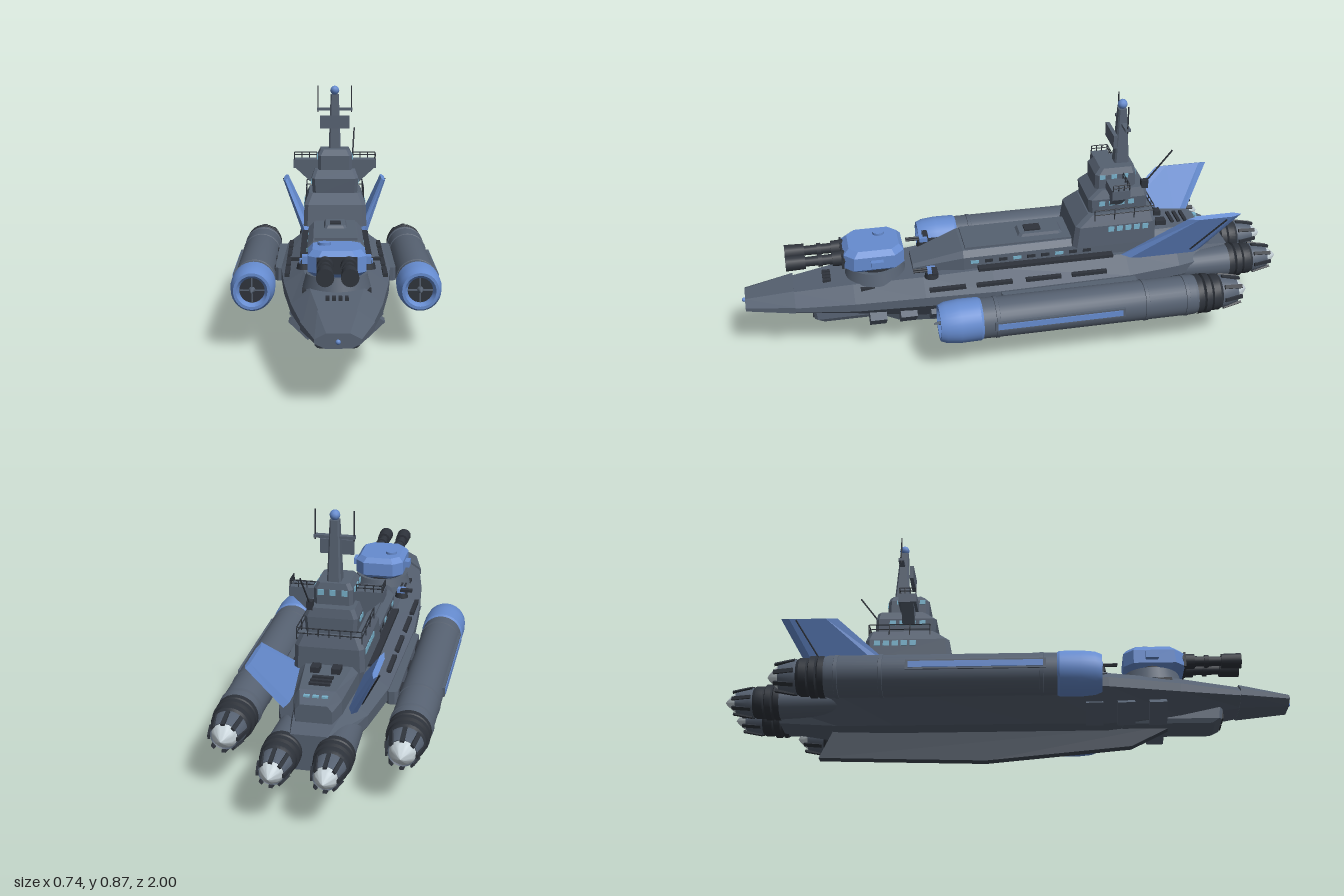
import * as THREE from 'three';
import { toCreasedNormals } from 'three/addons/utils/BufferGeometryUtils.js';

const paint = (name, color) => {
  const m = new THREE.MeshStandardMaterial({ color });
  m.name = name;
  return m;
};

export function createModel() {
  const model = new THREE.Group();
  model.name = 'flyingWarship';
  const hull = paint('hull grey', 0x566171);
  const dark = paint('gunmetal', 0x2e333b);
  const keelGrey = paint('keel grey', 0x424b57);
  const blue = paint('trim blue', 0x668cd0);
  const pale = paint('exhaust white', 0xc4d0d6);
  const glass = paint('window cyan', 0x78b2cc);

  const add = (name, geo, mat) => {
    const mesh = new THREE.Mesh(geo, mat);
    mesh.name = name;
    model.add(mesh);
  };
  // Copy a geometry to the other side of x = 0, keeping faces outward
  const mirror = (geo) => {
    const m = geo.index ? geo.toNonIndexed() : geo.clone();
    m.scale(-1, 1, 1);
    for (const a of Object.values(m.attributes))
      for (let i = 0; i < a.count; i += 3)
        for (let k = 0; k < a.itemSize; k++) {
          const t = a.getComponent(i + 1, k);
          a.setComponent(i + 1, k, a.getComponent(i + 2, k));
          a.setComponent(i + 2, k, t);
        }
    return m;
  };
  const pair = (name, geo, mat) => {
    add(name + 'Left', geo, mat);
    add(name + 'Right', mirror(geo), mat);
  };
  const box = (w, h, d, x, y, z) => new THREE.BoxGeometry(w, h, d).translate(x, y, z);
  const tube = (r0, r1, z0, z1, x, y, n = 16) => // r0 at z0 (back), r1 at z1 (front)
    new THREE.CylinderGeometry(r1, r0, z1 - z0, n).rotateX(Math.PI / 2).translate(x, y, (z0 + z1) / 2);
  const rod = (a, b, r) => new THREE.TubeGeometry(
    new THREE.LineCurve3(new THREE.Vector3(...a), new THREE.Vector3(...b)), 1, r, 6);
  const spin = (pts, x, y, z, n = 28) => toCreasedNormals(
    new THREE.LatheGeometry(pts.map(([r, h]) => new THREE.Vector2(r, h)), n), 0.5)
    .rotateX(Math.PI / 2).translate(x, y, z);

  // Skin a list of equal-length rings, with flat facets and closed ends
  const loft = (rings) => {
    const pos = [], n = rings[0].length, last = rings[rings.length - 1];
    const tri = (...p) => p.forEach((v) => pos.push(...v));
    for (let i = 0; i + 1 < rings.length; i++)
      for (let j = 0; j < n; j++) {
        const k = (j + 1) % n, a = rings[i], b = rings[i + 1];
        tri(a[j], a[k], b[k]);
        tri(a[j], b[k], b[j]);
      }
    for (let j = 1; j + 1 < n; j++) {
      tri(rings[0][0], rings[0][j + 1], rings[0][j]);
      tri(last[0], last[j], last[j + 1]);
    }
    const g = new THREE.BufferGeometry();
    g.setAttribute('position', new THREE.Float32BufferAttribute(pos, 3));
    g.computeVertexNormals();
    return g;
  };
  // Hull station: z, top half width, top y, chine half width, chine top, chine bottom, floor half width, floor y
  const station = ([z, wt, yt, wm, y1, y2, wb, yb]) => {
    const right = [[wb, yb, z], [wm, y2, z], [wm, y1, z], [wt, yt, z]];
    return [...right, ...right.slice().reverse().map(([x, y]) => [-x, y, z])];
  };
  // Tower level: y, half width, back z, front z, corner cut
  const level = ([y, w, b, f, c]) => [[w, y, f - c], [w, y, b + c], [w - c, y, b], [c - w, y, b],
    [-w, y, b + c], [-w, y, f - c], [c - w, y, f], [w - c, y, f]];
  const tower = (rows) => loft(rows.map(level));

  // Main hull, bow and keel
  add('hull', loft([
    [-0.81, 0.06, 0.265, 0.075, 0.23, 0.19, 0.05, 0.14],
    [-0.6, 0.09, 0.29, 0.15, 0.245, 0.205, 0.08, 0.115],
    [-0.4, 0.115, 0.3, 0.185, 0.25, 0.21, 0.09, 0.11],
    [0.1, 0.115, 0.3, 0.195, 0.25, 0.21, 0.09, 0.11],
    [0.35, 0.11, 0.29, 0.178, 0.245, 0.21, 0.085, 0.11],
    [0.6, 0.085, 0.275, 0.148, 0.23, 0.2, 0.07, 0.14],
    [0.82, 0.055, 0.25, 0.108, 0.215, 0.198, 0.05, 0.175],
  ].map(station)), hull);
  add('bow', loft([
    [0.81, 0.062, 0.258, 0.115, 0.222, 0.198, 0.06, 0.172],
    [0.985, 0.035, 0.23, 0.07, 0.212, 0.2, 0.04, 0.184],
  ].map(station)), hull);
  add('bowLight', new THREE.SphereGeometry(0.008, 10, 8).translate(0, 0.205, 0.99), blue);
  const keel = new THREE.Shape([[-0.62, 0.13], [-0.67, 0.02], [-0.08, 0.003], [0.43, 0.05], [0.6, 0.135]]
    .map(([z, y]) => new THREE.Vector2(-z, y)));
  add('keel', new THREE.ExtrudeGeometry(keel, { depth: 0.036, bevelEnabled: false })
    .rotateY(Math.PI / 2).translate(-0.018, 0, 0), keelGrey);
  add('chinHousing', tower([[0.115, 0.065, 0.4, 0.72, 0.01], [0.13, 0.072, 0.4, 0.745, 0.01],
    [0.18, 0.07, 0.4, 0.75, 0.01]]), hull);
  pair('chinPort', box(0.052, 0.03, 0.008, 0.031, 0.148, 0.747), dark);
  for (const z of [0.3, 0.41, 0.52])
    pair('hullRib', loft([[0.095, 0.11], [0.1575, 0.17]].map(([x, y]) => [
      [x, y - 0.012, z + 0.03], [x, y - 0.012, z - 0.03],
      [x - 0.03, y + 0.01, z - 0.03], [x - 0.03, y + 0.01, z + 0.03],
    ])), hull);
  for (const z of [-0.25, -0.08, 0.1, 0.27])
    pair('edgeConduit', box(0.016, 0.012, 0.13, 0.168, 0.27, z), dark);
  for (const x of [-0.03, -0.01, 0.01, 0.03]) add('bowVent', box(0.012, 0.012, 0.03, x, 0.268, 0.69), dark);
  pair('bollard', box(0.025, 0.015, 0.05, 0.1, 0.262, 0.55), dark);

  // Raised deck with hatch and side windows
  add('upperDeck', loft([
    [-0.74, 0.045, 0.335, 0.06, 0.315, 0.29, 0.06, 0.26],
    [-0.68, 0.06, 0.36, 0.08, 0.33, 0.3, 0.08, 0.27],
    [-0.5, 0.08, 0.37, 0.1, 0.35, 0.3, 0.1, 0.28],
    [0.2, 0.08, 0.365, 0.1, 0.345, 0.3, 0.1, 0.28],
    [0.38, 0.045, 0.31, 0.058, 0.3, 0.29, 0.058, 0.27],
  ].map(station)), hull);
  add('deckPanel', box(0.15, 0.01, 0.5, 0, 0.368, -0.06), hull);
  add('deckHatch', tower([[0.37, 0.043, -0.18, -0.01, 0.01], [0.383, 0.037, -0.17, -0.02, 0.01]]), hull);
  add('hatchLid', box(0.04, 0.006, 0.06, 0, 0.386, -0.07), dark);
  for (let i = 0; i < 9; i++) pair('deckWindow', box(0.006, 0.012, 0.03, 0.1, 0.326, 0.16 - i * 0.052), i % 3 ? dark : glass);
  pair('catwalk', box(0.03, 0.012, 0.5, 0.112, 0.304, -0.1), dark);
  for (let i = 0; i < 3; i++) add('aftVent', box(0.07, 0.008, 0.012, 0, 0.368, -0.6 - i * 0.025), dark);
  pair('aftCrate', box(0.03, 0.02, 0.04, 0.035, 0.375, -0.55), dark);
  for (const x of [-0.03, 0, 0.03]) add('aftWindow', box(0.02, 0.006, 0.012, x, 0.351, -0.707), glass);

  // Bridge tiers
  add('bridgeLower', tower([[0.35, 0.12, -0.51, -0.2, 0.015], [0.43, 0.117, -0.51, -0.21, 0.015],
    [0.47, 0.1, -0.5, -0.26, 0.015]]), hull);
  add('bridgeMiddle', tower([[0.465, 0.085, -0.48, -0.265, 0.012], [0.525, 0.09, -0.48, -0.26, 0.012],
    [0.557, 0.078, -0.475, -0.3, 0.012]]), hull);
  add('bridgeTop', tower([[0.555, 0.066, -0.44, -0.29, 0.012], [0.61, 0.066, -0.44, -0.29, 0.012],
    [0.632, 0.055, -0.435, -0.31, 0.012]]), hull);
  add('bridgeWing', box(0.32, 0.034, 0.065, 0, 0.575, -0.36), hull);
  const bracket = new THREE.Shape([[0.07, 0.56], [0.09, 0.5], [0.155, 0.56]].map((p) => new THREE.Vector2(...p)));
  pair('wingBracket', new THREE.ExtrudeGeometry(bracket, { depth: 0.045, bevelEnabled: false })
    .translate(0, 0, -0.383), hull);
  for (let i = 0; i < 5; i++) {
    pair('lowerWindow', box(0.006, 0.02, 0.022, 0.117, 0.415, -0.34 - i * 0.032), glass);
    if (i < 4) pair('middleWindow', box(0.006, 0.018, 0.022, 0.089, 0.508, -0.31 - i * 0.036), glass);
    if (i < 3) pair('topWindow', box(0.006, 0.016, 0.02, 0.066, 0.603, -0.315 - i * 0.042), glass);
  }
  for (const x of [-0.04, 0, 0.04]) add('rearWindow', box(0.02, 0.02, 0.006, x, 0.6, -0.44), glass);

  // Guard rails on the bridge and its wings
  const rail = (x0, z0, x1, z1, y, h) => {
    for (const k of [0.55, 1]) pair('guardRail', rod([x0, y + h * k, z0], [x1, y + h * k, z1], 0.002), dark);
    for (let i = 0; i <= 3; i++) {
      const x = x0 + (x1 - x0) * i / 3, z = z0 + (z1 - z0) * i / 3;
      pair('railPost', rod([x, y, z], [x, y + h, z], 0.002), dark);
    }
  };
  rail(0.11, -0.28, 0.11, -0.5, 0.45, 0.042);
  rail(0.11, -0.5, 0, -0.5, 0.45, 0.042);
  rail(0.157, -0.33, 0.157, -0.39, 0.59, 0.025);
  rail(0.157, -0.39, 0.07, -0.39, 0.59, 0.025);

  // Mast, radar and aerials
  add('mast', tower([[0.62, 0.024, -0.425, -0.37, 0.006], [0.84, 0.016, -0.41, -0.38, 0.005]]), hull);
  add('mastCap', new THREE.IcosahedronGeometry(0.018, 1).translate(0, 0.856, -0.396), blue);
  add('radarPlate', box(0.114, 0.05, 0.014, 0, 0.735, -0.36), hull);
  add('yardArm', box(0.138, 0.01, 0.02, 0, 0.783, -0.4), hull);
  pair('yardAerial', rod([0.065, 0.77, -0.4], [0.065, 0.875, -0.4], 0.0025), dark);
  add('whipAerial', rod([0.07, 0.565, -0.47], [0.08, 0.695, -0.565], 0.003), dark);
  add('aerialBase', box(0.02, 0.03, 0.025, 0.07, 0.565, -0.47), dark);

  // Twin-gun turret
  add('turretRing', new THREE.CylinderGeometry(0.1, 0.112, 0.045, 32).translate(0, 0.293, 0.51), hull);
  add('turretCollar', new THREE.CylinderGeometry(0.085, 0.085, 0.02, 32).translate(0, 0.318, 0.51), dark);
  add('turret', tower([[0.318, 0.075, 0.43, 0.61, 0.035], [0.335, 0.094, 0.41, 0.63, 0.035],
    [0.385, 0.094, 0.41, 0.625, 0.035], [0.404, 0.078, 0.425, 0.605, 0.03]]), blue);
  add('turretHatch', new THREE.CylinderGeometry(0.022, 0.022, 0.012, 16).translate(-0.04, 0.407, 0.49), blue);
  pair('turretSight', box(0.022, 0.025, 0.045, 0.102, 0.36, 0.51), blue);
  add('gunPlate', box(0.13, 0.055, 0.008, 0, 0.36, 0.629), dark);
  for (const [r0, r1, z0, z1] of [[0.028, 0.026, 0.62, 0.665], [0.019, 0.017, 0.66, 0.77], [0.023, 0.023, 0.7, 0.715],
    [0.026, 0.028, 0.76, 0.83]])
    pair('gunBarrel', tube(r0, r1, z0, z1, 0.038, 0.362), dark);
  // Small deck guns
  pair('deckGunBase', new THREE.CylinderGeometry(0.022, 0.026, 0.02, 12).translate(0.11, 0.3, 0.32), dark);
  pair('deckGunHead', box(0.03, 0.018, 0.03, 0.11, 0.317, 0.32), blue);
  for (const x of [0.103, 0.117]) pair('deckGunBarrel', tube(0.004, 0.004, 0.33, 0.385, x, 0.32, 8), dark);
  pair('deckGunShield', box(0.045, 0.01, 0.02, 0.13, 0.322, 0.31), dark);

  // Tail fins
  const finRing = (x, y, f, b, t) => [[0, f], [1, f - 0.04], [1, b + 0.03], [0, b], [-1, b + 0.03], [-1, f - 0.04]]
    .map(([s, z]) => [x + s * t * 0.9, y - s * t * 0.43, z]);
  pair('tailFin', loft([finRing(0.112, 0.29, -0.37, -0.69, 0.015), finRing(0.202, 0.475, -0.6, -0.8, 0.009)]), blue);
  pair('finSeam', rod([0.138, 0.305, -0.64], [0.214, 0.465, -0.745], 0.003), dark);

  // Exhaust: collar rings, petals and pale cone, running aft from z
  const nozzle = (name, x, y, z, k) => {
    const s = (pts) => spin(pts.map(([r, h]) => [r * k, h]), x, y, z);
    pair(name + 'Collar', s([[0, -0.095], [0.06, -0.095], [0.066, -0.085], [0.066, -0.06], [0.06, -0.055],
      [0.072, -0.05], [0.072, -0.03], [0.065, -0.025], [0.072, -0.02], [0.072, 0]]), dark);
    pair(name + 'Bell', s([[0.04, -0.15], [0.047, -0.158], [0.06, -0.11], [0.06, -0.09]]), hull);
    for (let i = 0; i < 8; i++)
      pair(name + 'Petal', box(0.014 * k, 0.008, 0.07, 0, 0.056 * k, 0).rotateX(-0.2)
        .rotateZ(i * Math.PI / 4).translate(x, y, z - 0.125), dark);
    pair(name + 'Cone', s([[0, -0.2], [0.012, -0.192], [0.034, -0.17], [0.046, -0.15], [0.046, -0.13]]), pale);
  };
  nozzle('sternExhaust', 0.085, 0.205, -0.8, 0.88);
  pair('sternEngine', tube(0.06, 0.05, -0.805, -0.55, 0.085, 0.205, 28), hull);

  // Side nacelles
  const nx = 0.29, ny = 0.21;
  nozzle('nacelleExhaust', nx, ny, -0.61, 1);
  pair('nacelleBody', spin([[0.066, -0.62], [0.072, -0.6], [0.072, 0.175]], nx, ny, 0, 32), hull);
  for (const z of [-0.57, -0.42, 0.12])
    pair('nacelleBand', spin([[0.07, -0.008], [0.0745, -0.006], [0.0745, 0.006], [0.07, 0.008]], nx, ny, z, 32), hull);
  pair('intakeCowl', spin([[0.071, 0.17], [0.077, 0.18], [0.078, 0.25], [0.073, 0.3], [0.064, 0.322],
    [0.054, 0.322], [0.044, 0.305], [0.044, 0.28]], nx, ny, 0, 32), blue);
  pair('intakeFan', tube(0.045, 0.045, 0.27, 0.295, nx, ny, 28), dark);
  pair('intakeVaneUpright', box(0.005, 0.09, 0.008, nx, ny, 0.298), hull);
  pair('intakeVaneLevel', box(0.09, 0.005, 0.008, nx, ny, 0.298), hull);
  pair('intakeSpinner', tube(0.013, 0.002, 0.29, 0.34, nx, ny, 14), hull);
  pair('nacelleRail', box(0.018, 0.034, 0.47, 0.358, 0.218, -0.1), hull);
  pair('nacelleStripe', box(0.006, 0.022, 0.45, 0.367, 0.218, -0.1), blue);
  pair('pylon', tower([[0.198, 0.02, -0.42, 0.08, 0.01], [0.245, 0.02, -0.42, 0.08, 0.01]])
    .translate(0.197, 0, 0), hull);
  for (const z of [-0.35, -0.17, 0.01]) pair('pylonStrut', box(0.05, 0.03, 0.06, 0.215, 0.222, z), dark);

  return model;
}
